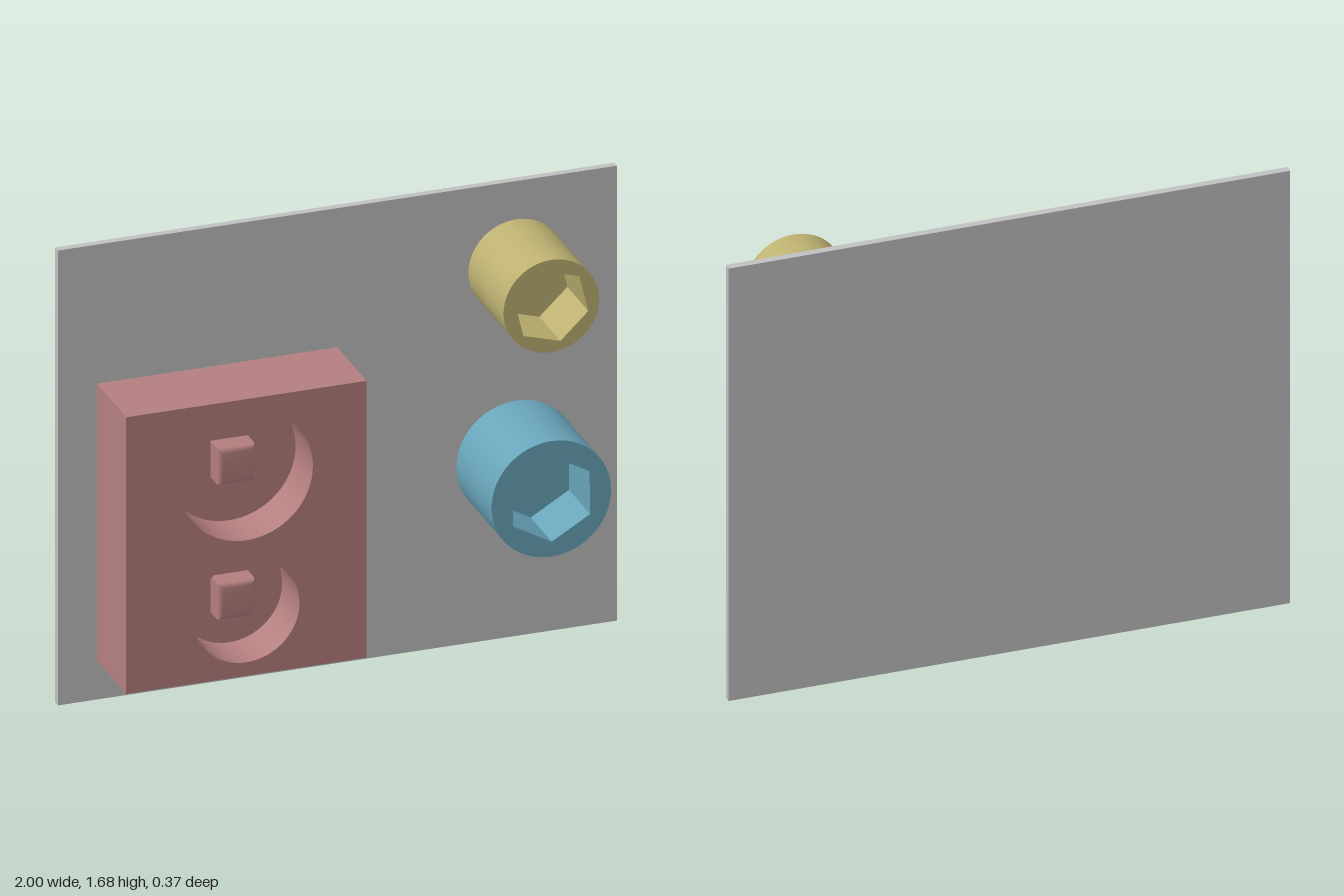
import * as THREE from 'three';
import { toCreasedNormals } from 'three/addons/utils/BufferGeometryUtils.js';

const material = (name, color) => {
  const m = new THREE.MeshStandardMaterial({ color });
  m.name = name;
  return m;
};

// Closed loops used as outlines and holes
const rect = (x0, y0, x1, y1) => new THREE.Shape([
  new THREE.Vector2(x0, y0), new THREE.Vector2(x1, y0),
  new THREE.Vector2(x1, y1), new THREE.Vector2(x0, y1),
]);
const polygon = (cx, cy, r, sides, turn = 0) => {
  const points = [];
  for (let i = 0; i < sides; i++) {
    const a = turn + (i / sides) * Math.PI * 2;
    points.push(new THREE.Vector2(cx + r * Math.cos(a), cy + r * Math.sin(a)));
  }
  return new THREE.Shape(points);
};

export function createModel() {
  const group = new THREE.Group();
  const grey = material('panel grey', 0xc0c0c0);
  const red = material('dusty red', 0xb47e7e);
  const yellow = material('muted yellow', 0xbcb070);
  const blue = material('soft blue', 0x68a4b9);

  // Extrudes an outline, with optional holes, from z0 to z1
  const slab = (name, mat, outline, z0, z1, holes = []) => {
    outline.holes.push(...holes);
    const geo = new THREE.ExtrudeGeometry(outline, { depth: z1 - z0, bevelEnabled: false });
    geo.translate(0, 0, z0);
    const mesh = new THREE.Mesh(toCreasedNormals(geo, 0.5), mat);
    mesh.name = name;
    group.add(mesh);
  };

  const wall = -0.16;
  slab('backPanel', grey, rect(-1, 0, 1, 1.685), -0.187, wall);

  // Block with two round recesses, each holding a square peg
  const floor = -0.043, blockFront = 0.128;
  const recesses = [{ y: 0.885, r: 0.238 }, { y: 0.385, r: 0.19 }];
  slab('blockBase', red, rect(-0.86, 0.145, 0, 1.17), wall, floor);
  slab('blockFront', red, rect(-0.86, 0.145, 0, 1.17), floor, blockFront,
    recesses.map(({ y, r }) => polygon(-0.43, y, r, 64)));

  // Pegs with rounded front edges
  const half = 0.067, round = 0.018, pegFront = 0.037;
  for (const { y } of recesses) {
    const h = half - round;
    const geo = new THREE.ExtrudeGeometry(rect(-h, -h, h, h), {
      depth: pegFront - round - floor,
      bevelThickness: round, bevelSize: round, bevelSegments: 5,
    });
    const peg = new THREE.Mesh(toCreasedNormals(geo, 0.5), red);
    peg.position.set(-0.43, y, floor);
    peg.name = 'peg';
    group.add(peg);
  }

  // Round posts with hexagonal sockets
  const postFront = 0.187, socketFloor = -0.02;
  const posts = [
    { name: 'upperPost', mat: yellow, y: 1.372, r: 0.171, hex: 0.138, turn: 103.5 },
    { name: 'lowerPost', mat: blue, y: 0.658, r: 0.214, hex: 0.159, turn: 90.5 },
  ];
  for (const { name, mat, y, r, hex, turn } of posts) {
    slab(name + 'Base', mat, polygon(0.64, y, r, 64), wall, socketFloor);
    slab(name + 'Socket', mat, polygon(0.64, y, r, 64), socketFloor, postFront,
      [polygon(0.64, y, hex, 6, THREE.MathUtils.degToRad(turn))]);
  }
  return group;
}
